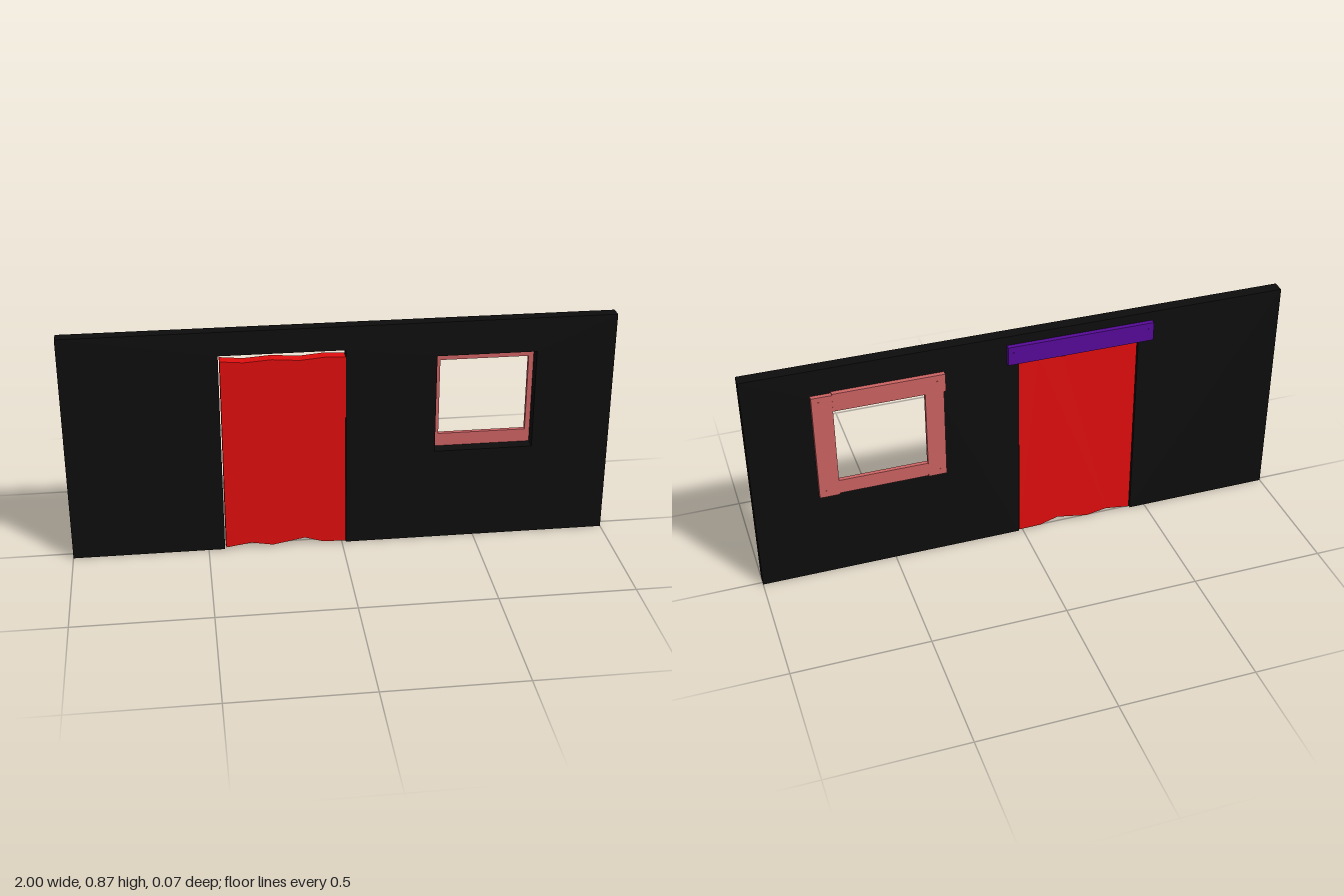
import * as THREE from 'three';

const paint = (color) => new THREE.MeshStandardMaterial({ color, flatShading: true });
const BACK = -0.012; // rear face of the wall
const FRONT = 0.034;

const polygon = (Type, points) => new Type(points.map(([x, y]) => new THREE.Vector2(x, y)));

function slab(name, shape, z0, z1, material) {
  const geometry = new THREE.ExtrudeGeometry(shape, { depth: z1 - z0, bevelEnabled: false });
  const mesh = new THREE.Mesh(geometry, material);
  mesh.position.z = z0;
  mesh.name = name;
  return mesh;
}

// Board fixed on the back of the wall
function board(name, x0, x1, y0, y1, depth, material) {
  const mesh = new THREE.Mesh(new THREE.BoxGeometry(x1 - x0, y1 - y0, depth), material);
  mesh.position.set((x0 + x1) / 2, (y0 + y1) / 2, BACK - depth / 2);
  mesh.name = name;
  return mesh;
}

function nail(x, y, material) {
  const mesh = new THREE.Mesh(new THREE.CylinderGeometry(0.003, 0.003, 0.006, 8), material);
  mesh.rotation.x = Math.PI / 2;
  mesh.position.set(x, y, -0.029);
  mesh.name = 'nail';
  return mesh;
}

export function createModel() {
  const model = new THREE.Group();
  model.name = 'wallWithDoorAndWindow';
  const black = paint(0x0d0d0d);
  const red = paint(0xe00d0d);
  const purple = paint(0x560a98);
  const pink = paint(0xcc6262);

  // Wall outline steps around the doorway; the window is a hole
  const wall = polygon(THREE.Shape, [
    [-1, 0], [-0.44, 0], [-0.44, 0.78], [0.015, 0.78], [0.015, 0], [1, 0], [1, 0.87], [-1, 0.87],
  ]);
  wall.holes.push(polygon(THREE.Path, [[0.345, 0.36], [0.345, 0.74], [0.71, 0.74], [0.71, 0.36]]));
  model.add(slab('wall', wall, BACK, FRONT, black));

  // Door with ragged top and bottom edges
  const door = polygon(THREE.Shape, [
    [-0.435, 0.006], [-0.34, 0.02], [-0.26, 0.006], [-0.14, 0.028], [-0.07, 0.007], [0.014, 0.005],
    [0.014, 0.753], [-0.06, 0.757], [-0.15, 0.749], [-0.25, 0.757], [-0.35, 0.75], [-0.435, 0.758],
  ]);
  model.add(slab('door', door, BACK + 0.001, FRONT - 0.001, red));

  // Lintel over the doorway
  const lintel = new THREE.Group();
  lintel.name = 'lintel';
  lintel.add(board('lintelBoard', -0.49, 0.06, 0.763, 0.835, 0.018, purple));
  for (const x of [-0.47, 0.04]) lintel.add(nail(x, 0.81, purple));
  model.add(lintel);

  // Window frame of four boards with nailed corners
  const frame = new THREE.Group();
  frame.name = 'windowFrame';
  frame.add(
    board('leftJamb', 0.692, 0.765, 0.35, 0.77, 0.017, pink),
    board('rightJamb', 0.297, 0.365, 0.352, 0.705, 0.017, pink),
    board('topRail', 0.29, 0.692, 0.705, 0.775, 0.018, pink),
    board('bottomRail', 0.365, 0.692, 0.355, 0.41, 0.016, pink),
  );
  for (const x of [0.32, 0.74]) {
    for (const y of [0.375, 0.75]) frame.add(nail(x, y, pink));
  }
  model.add(frame);

  return model;
}
